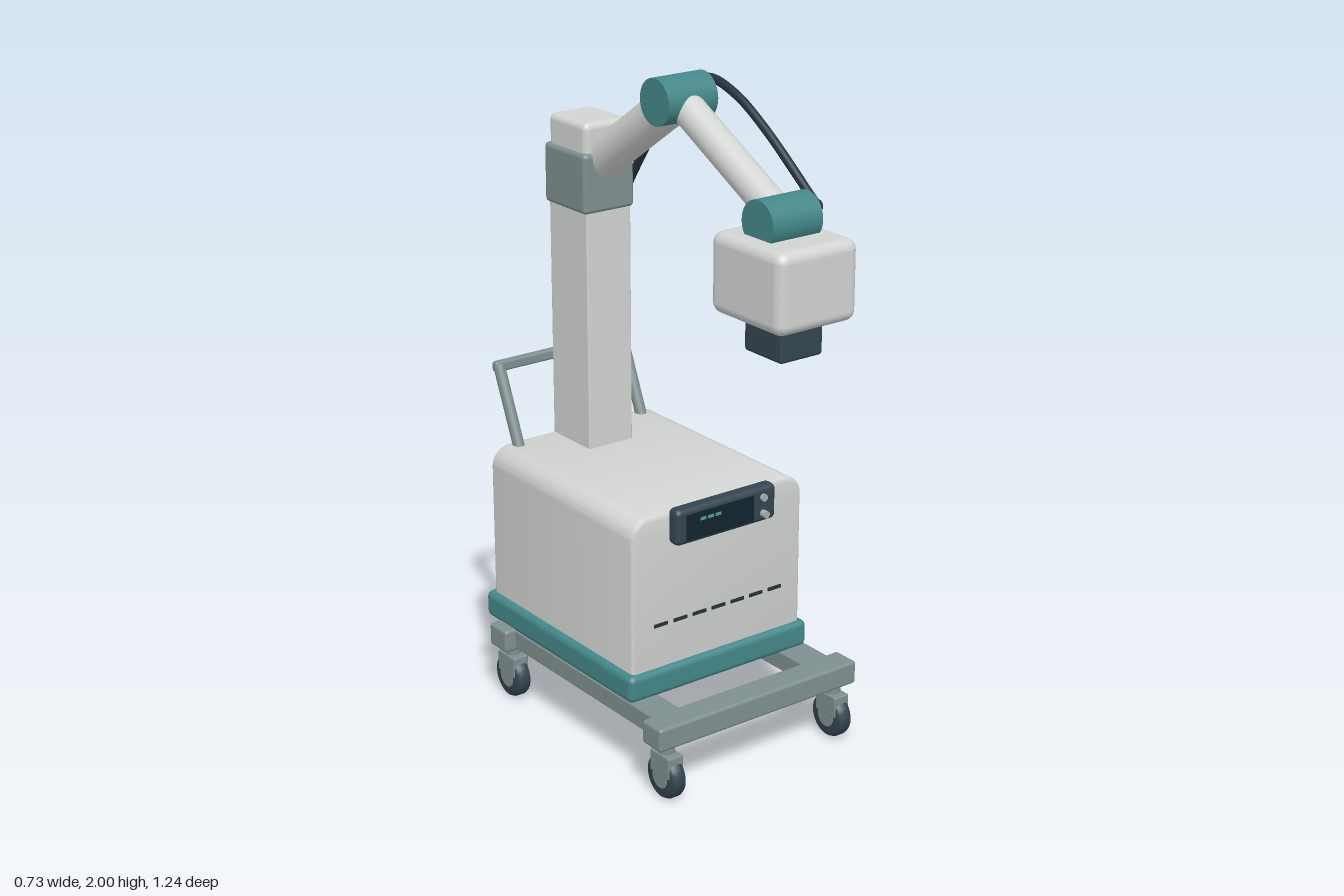
import * as THREE from 'three';
import { toCreasedNormals } from 'three/addons/utils/BufferGeometryUtils.js';
import { RoundedBoxGeometry } from 'three/addons/geometries/RoundedBoxGeometry.js';

const paint = (name, color) => {
  const m = new THREE.MeshStandardMaterial({ color });
  m.name = name;
  return m;
};

export function createModel() {
  const white = paint('shell white', 0xd2d4d1);
  const teal = paint('teal', 0x448789);
  const grey = paint('frame grey', 0x7f8f8f);
  const dark = paint('dark slate', 0x33444f);
  const rubber = paint('cable black', 0x24323b);
  const glass = paint('screen glass', 0x12242e);
  const glow = paint('display teal', 0x4f9fa0);
  const silver = paint('button silver', 0xa3adad);

  const model = new THREE.Group();
  model.name = 'mobileArmCart';

  const add = (name, geo, mat, x = 0, y = 0, z = 0, parent = model) => {
    const mesh = new THREE.Mesh(geo, mat);
    mesh.name = name;
    mesh.position.set(x, y, z);
    parent.add(mesh);
    return mesh;
  };
  // Rounded box given by its extents
  const box = (name, mat, [x0, x1], [y0, y1], [z0, z1], r = 0.01) =>
    add(name, new RoundedBoxGeometry(x1 - x0, y1 - y0, z1 - z0, 3, r), mat,
      (x0 + x1) / 2, (y0 + y1) / 2, (z0 + z1) / 2);
  // Cylinder between two points
  const rod = (name, mat, a, b, r, sides = 32) => {
    const p = new THREE.Vector3(...a), q = new THREE.Vector3(...b);
    const dir = q.clone().sub(p);
    const mesh = add(name, new THREE.CylinderGeometry(r, r, dir.length(), sides), mat);
    mesh.position.copy(p).add(q).multiplyScalar(0.5);
    mesh.quaternion.setFromUnitVectors(new THREE.Vector3(0, 1, 0), dir.normalize());
    return mesh;
  };

  // Chassis: two cross bars and two side rails
  box('frontCrossBar', grey, [-0.365, 0.365], [0.17, 0.243], [0.306, 0.395]);
  box('rearCrossBar', grey, [-0.365, 0.365], [0.17, 0.243], [-0.488, -0.398]);
  for (const s of [-1, 1])
    box('sideRail', grey, [s * 0.278 - 0.05, s * 0.278 + 0.05], [0.177, 0.238], [-0.42, 0.33], 0.006);

  // Casters: lathed tyre, hub, fork and stem
  const tyre = new THREE.LatheGeometry([
    [0.03, -0.024], [0.056, -0.024], [0.064, -0.02], [0.068, -0.012],
    [0.068, 0.012], [0.064, 0.02], [0.056, 0.024], [0.03, 0.024],
  ].map(([r, h]) => new THREE.Vector2(r, h)), 32);
  const tyreGeo = toCreasedNormals(tyre, 0.7);
  for (const x of [-0.31, 0.31]) for (const z of [-0.443, 0.352]) {
    const caster = new THREE.Group();
    caster.name = 'caster';
    caster.position.set(x, 0, z);
    model.add(caster);
    add('wheel', tyreGeo, dark, 0, 0.068, 0, caster).rotation.z = Math.PI / 2;
    add('hub', new THREE.CylinderGeometry(0.034, 0.034, 0.052, 24), grey, 0, 0.068, 0, caster).rotation.z = Math.PI / 2;
    add('fork', new RoundedBoxGeometry(0.054, 0.068, 0.09, 2, 0.005), grey, 0, 0.109, 0, caster);
    add('stem', new THREE.CylinderGeometry(0.024, 0.024, 0.04, 20), grey, 0, 0.158, 0, caster);
  }

  // Base tray
  box('baseTray', teal, [-0.33, 0.33], [0.232, 0.317], [-0.56, 0.207], 0.02);

  // Cabinet: arched profile extruded front to back
  const bevel = 0.012, w = 0.31 - bevel, top = 0.795 - bevel, r = 0.05;
  const profile = new THREE.Shape();
  profile.moveTo(-w, 0.312);
  profile.lineTo(w, 0.312);
  profile.lineTo(w, top - r);
  profile.absarc(w - r, top - r, r, 0, Math.PI / 2);
  profile.absarc(-w + r, top - r, r, Math.PI / 2, Math.PI);
  profile.closePath();
  const cabinet = new THREE.ExtrudeGeometry(profile, {
    depth: 0.728 - 2 * bevel, bevelEnabled: true, bevelThickness: bevel, bevelSize: bevel,
    bevelSegments: 3, curveSegments: 8,
  });
  add('cabinet', toCreasedNormals(cabinet, 0.6), white, 0, 0, -0.538 + bevel);
  box('rearPanel', grey, [-0.245, 0.245], [0.33, 0.745], [-0.58, -0.52], 0.012);

  // Vent slots
  for (let i = -3; i <= 3; i++)
    add('ventSlot', new THREE.BoxGeometry(0.048, 0.01, 0.006), rubber, i * 0.07, 0.452, 0.191);

  // Control console
  box('console', dark, [-0.182, 0.182], [0.698, 0.81], [0.183, 0.232], 0.018);
  add('screen', new THREE.BoxGeometry(0.243, 0.08, 0.006), glass, -0.027, 0.752, 0.232);
  for (let i = 0; i < 3; i++)
    add('readout', new THREE.BoxGeometry(0.02, 0.009, 0.004), glow, -0.09 + i * 0.027, 0.77, 0.235);
  for (const [y, depth] of [[0.778, 0.012], [0.728, 0.022]])
    add('button', new THREE.CylinderGeometry(0.011, 0.011, depth, 20), silver, 0.13, y, 0.23 + depth / 2)
      .rotation.x = Math.PI / 2;

  // Push handle
  for (const s of [-1, 1])
    rod('handlePost', grey, [s * 0.23, 0.775, -0.497], [s * 0.23, 1.025, -0.604], 0.018, 20);
  box('handleBar', grey, [-0.247, 0.247], [1.004, 1.037], [-0.618, -0.592], 0.008);

  // Column, collar and cap
  box('column', white, [-0.08, 0.08], [0.77, 1.6], [-0.535, -0.342], 0.006);
  box('columnCap', white, [-0.079, 0.079], [1.58, 1.8], [-0.536, -0.346], 0.02);
  box('collar', grey, [-0.09, 0.09], [1.53, 1.712], [-0.546, -0.336], 0.014);

  // Arm links and pivot drums
  const elbow = [0, 1.933, 0], wrist = [0, 1.69, 0.458];
  rod('upperArm', white, [0, 1.64, -0.43], elbow, 0.06);
  rod('forearm', white, elbow, wrist, 0.048);
  for (const [name, [, y, z]] of [['elbowDrum', elbow], ['wristDrum', wrist]])
    rod(name, teal, [-0.085, y, z], [0.085, y, z], 0.068, 40);

  // Tool head and emitter
  box('toolHead', white, [-0.138, 0.138], [1.42, 1.652], [0.315, 0.62], 0.032);
  box('emitter', dark, [-0.074, 0.074], [1.318, 1.44], [0.39, 0.55], 0.01);

  // Cable draped along the arm and down the column
  const path = new THREE.CatmullRomCurve3([
    [0.107, 1.715, 0.473], [0.108, 1.88, 0.246], [0.108, 1.952, 0.114], [0.108, 1.976, -0.01],
    [0.108, 1.905, -0.15], [0.108, 1.7, -0.315], [0.106, 1.47, -0.455], [0.1, 1.25, -0.528],
    [0.094, 1.08, -0.522], [0.085, 0.78, -0.48],
  ].map((p) => new THREE.Vector3(...p)));
  add('cable', new THREE.TubeGeometry(path, 72, 0.013, 12), rubber);
  rod('cablePlug', rubber, [0.08, 1.712, 0.47], [0.118, 1.712, 0.47], 0.016, 16);

  return model;
}
